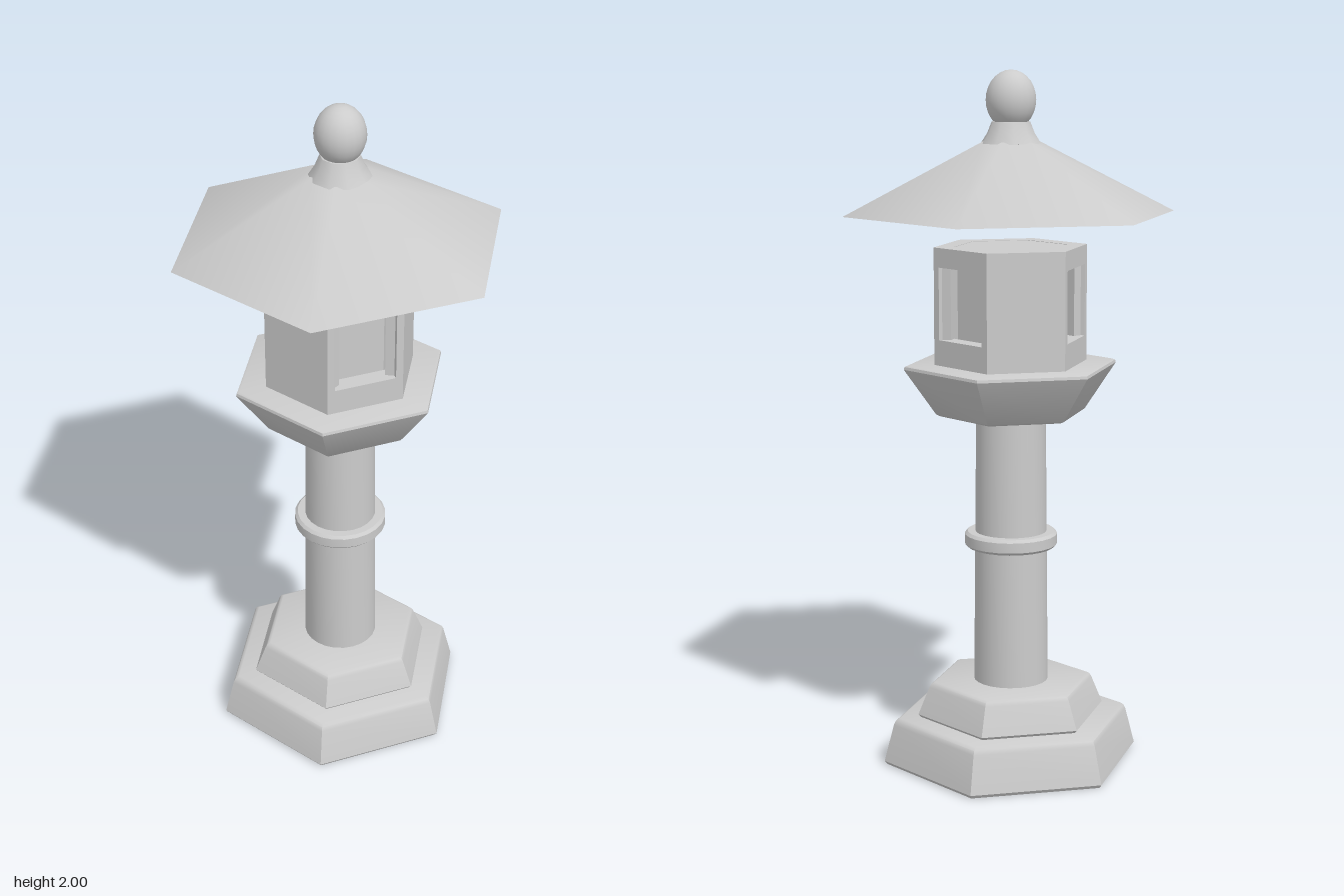
import * as THREE from 'three';
import { toCreasedNormals } from 'three/addons/utils/BufferGeometryUtils.js';

const material = new THREE.MeshStandardMaterial({ color: 0xcccccc });

export function createModel() {
  const model = new THREE.Group();

  const add = (name, geometry, parent = model) => {
    const mesh = new THREE.Mesh(geometry, material);
    mesh.name = name;
    parent.add(mesh);
    return mesh;
  };

  // Turned part from [radius, height] pairs, listed bottom to top
  const turned = (name, sides, profile, parent) => {
    const points = profile.map(([r, y]) => new THREE.Vector2(r, y));
    return add(name, toCreasedNormals(new THREE.LatheGeometry(points, sides), 0.6), parent);
  };

  // Stepped hexagonal base with softened upper edges
  turned('lowerBase', 6, [[0, 0], [0.37, 0], [0.378, 0.01], [0.35, 0.118], [0.344, 0.13], [0.332, 0.137], [0, 0.137]]);
  turned('upperBase', 6, [[0, 0.13], [0.27, 0.137], [0.277, 0.145], [0.244, 0.225], [0.238, 0.235], [0.228, 0.24], [0, 0.24]]);

  // Round tapered post with a collar
  turned('post', 24, [[0, 0.23], [0.108, 0.23], [0.1, 1.04], [0, 1.04]]);
  turned('collar', 24, [[0.09, 0.64], [0.126, 0.64], [0.134, 0.648], [0.134, 0.677], [0.126, 0.685], [0.09, 0.685]]);

  // Flared platform under the lamp chamber
  turned('platform', 6, [[0, 1.028], [0.205, 1.028], [0.218, 1.034], [0.31, 1.166], [0.308, 1.174], [0.3, 1.177], [0, 1.177]]);

  // Lamp chamber: six walls, every other one with a window
  const chamber = new THREE.Group();
  chamber.name = 'lampChamber';
  model.add(chamber);
  const radius = 0.222, thickness = 0.05, bottom = 1.175, top = 1.51;
  const rectangle = (Type, halfWidth, y0, y1) => new Type([
    new THREE.Vector2(-halfWidth, y0), new THREE.Vector2(halfWidth, y0),
    new THREE.Vector2(halfWidth, y1), new THREE.Vector2(-halfWidth, y1),
  ]);
  for (let i = 0; i < 6; i++) {
    const hasWindow = i % 2 === 1;
    const shape = rectangle(THREE.Shape, radius / 2, bottom, top);
    if (hasWindow) shape.holes.push(rectangle(THREE.Path, 0.09, 1.25, 1.455));
    const geometry = new THREE.ExtrudeGeometry(shape, { depth: thickness, bevelEnabled: false });
    geometry.translate(0, 0, radius * Math.cos(Math.PI / 6) - thickness);
    geometry.rotateY(Math.PI / 6 + i * Math.PI / 3);
    add(hasWindow ? 'windowWall' : 'plainWall', geometry, chamber);
  }
  turned('chamberCeiling', 6, [[0, 1.46], [0.175, 1.46], [0.175, 1.509], [0, 1.509]], chamber);
  turned('lampCore', 6, [[0, 1.176], [0.154, 1.176], [0.154, 1.47], [0, 1.47]], chamber);

  // Hexagonal roof
  turned('roof', 6, [[0, 1.6], [0.478, 1.6], [0.08, 1.803], [0, 1.803]]);

  // Finial: flared neck and egg-shaped knob
  turned('finialNeck', 10, [[0, 1.79], [0.086, 1.797], [0.068, 1.825], [0.055, 1.857], [0, 1.857]]);
  const knob = add('finialKnob', new THREE.SphereGeometry(0.071, 20, 14));
  knob.scale.y = 0.083 / 0.071;
  knob.position.y = 1.917;

  return model;
}
